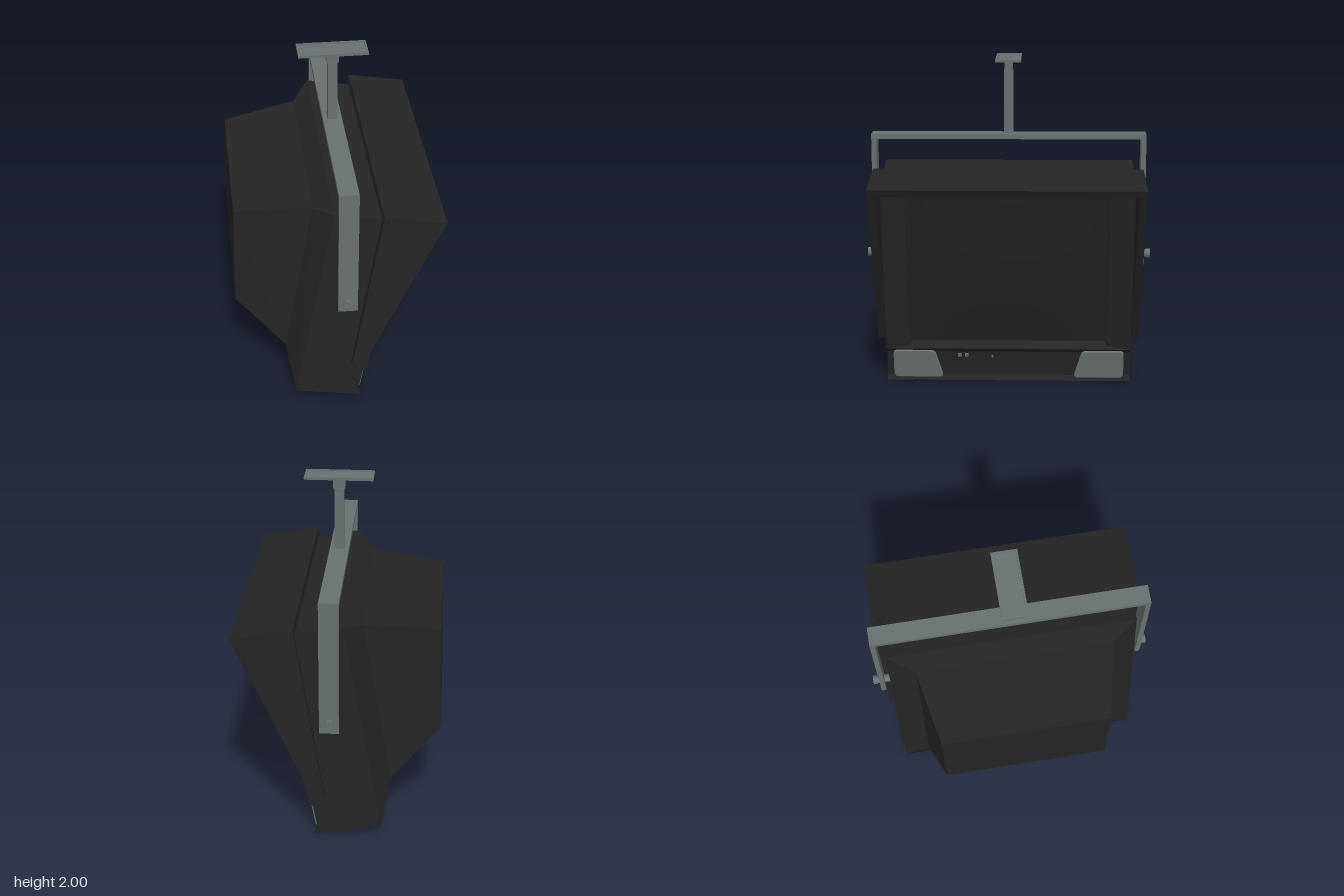
import * as THREE from 'three';

const mat = (name, color, side = THREE.FrontSide) => {
  const m = new THREE.MeshStandardMaterial({ color, side });
  m.name = name;
  return m;
};

// Flat-sided loft through rectangles [uBottom, uTop, vBottom, vTop, halfWidth], listed back to front
function loft(rects, capBack, capFront) {
  const loops = rects.map(([ub, ut, v0, v1, w]) => [[ub, v0, w], [ub, v0, -w], [ut, v1, -w], [ut, v1, w]]);
  const pos = [];
  const quad = (a, b, c, d) => pos.push(...a, ...b, ...c, ...a, ...c, ...d);
  for (let k = 0; k + 1 < loops.length; k++) {
    const a = loops[k], b = loops[k + 1];
    for (let i = 0; i < 4; i++) quad(a[i], a[(i + 1) % 4], b[(i + 1) % 4], b[i]);
  }
  if (capBack) quad(...[...loops[0]].reverse());
  if (capFront) quad(...loops[loops.length - 1]);
  const g = new THREE.BufferGeometry();
  g.setAttribute('position', new THREE.Float32BufferAttribute(pos, 3));
  g.computeVertexNormals();
  return g;
}

// Side profile in x, y extruded from z0 to z1
function slab(points, z0, z1) {
  const s = new THREE.Shape(points.map(p => new THREE.Vector2(...p)));
  return new THREE.ExtrudeGeometry(s, { depth: z1 - z0, bevelEnabled: false }).translate(0, 0, z0);
}

// Polygon with rounded corners
function roundedShape(points, r) {
  const p = points.map(q => new THREE.Vector2(...q)), n = p.length, s = new THREE.Shape();
  p.forEach((c, i) => {
    const toward = q => c.clone().add(q.clone().sub(c).setLength(r));
    const a = toward(p[(i + n - 1) % n]), b = toward(p[(i + 1) % n]);
    if (i) s.lineTo(a.x, a.y); else s.moveTo(a.x, a.y);
    s.quadraticCurveTo(c.x, c.y, b.x, b.y);
  });
  s.closePath();
  return s;
}

export function createModel() {
  const model = new THREE.Group();
  model.name = 'hangingMonitor';
  const casing = mat('casingBlack', 0x242424);
  const glass = mat('screenGlass', 0x222223);
  const metal = mat('bracketGrey', 0x687170);

  const add = (parent, name, geometry, material) => {
    const m = new THREE.Mesh(geometry, material);
    m.name = name;
    parent.add(m);
    return m;
  };
  const box = (parent, name, x0, x1, y0, y1, z0, z1, material) =>
    add(parent, name, new THREE.BoxGeometry(x1 - x0, y1 - y0, z1 - z0)
      .translate((x0 + x1) / 2, (y0 + y1) / 2, (z0 + z1) / 2), material);

  // Monitor, tilted downward; local x is the screen normal
  const monitor = new THREE.Group();
  monitor.name = 'monitor';
  monitor.position.x = 0.13;
  monitor.rotation.z = -0.177;
  model.add(monitor);

  add(monitor, 'rearCasing', loft([
    [-0.827, -0.925, 0.482, 1.109, 0.5],
    [-0.488, -0.496, 0.228, 1.241, 0.59],
    [-0.398, -0.405, 0, 1.31, 0.75],
    [-0.1, -0.1, 0, 1.31, 0.75],
  ], true, true), casing);

  // Bezel stepping in to the screen
  add(monitor, 'bezel', loft([
    [-0.1, -0.1, 0.22, 1.31, 0.75],
    [0, 0, 0.22, 1.31, 0.75],
    [-0.02, -0.02, 0.235, 1.2, 0.605],
    [-0.04, -0.04, 0.235, 1.2, 0.605],
    [-0.055, -0.055, 0.25, 1.19, 0.587],
  ], false, false), casing);

  // Gently bulging glass
  const screen = new THREE.PlaneGeometry(1.18, 0.95, 12, 12);
  const p = screen.attributes.position;
  for (let i = 0; i < p.count; i++) {
    const a = p.getX(i) / 0.59, b = p.getY(i) / 0.475;
    p.setZ(i, 0.022 * (1 - a * a) * (1 - b * b));
  }
  screen.computeVertexNormals();
  screen.rotateY(Math.PI / 2).translate(-0.055, 0.72, 0);
  add(monitor, 'screen', screen, glass);

  // Control panel below the screen, with a shallow recess
  add(monitor, 'controlPanel', slab([
    [-0.1, 0], [0, 0], [-0.022, 0.03], [-0.022, 0.19], [0, 0.22], [-0.1, 0.22],
  ], -0.75, 0.75), casing);

  for (const s of [1, -1]) {
    const shape = roundedShape([[-0.71 * s, 0.016], [-0.40 * s, 0.016], [-0.455 * s, 0.205], [-0.71 * s, 0.205]], 0.03);
    const g = new THREE.ExtrudeGeometry(shape, {
      depth: 0.012, bevelThickness: 0.008, bevelSize: 0.006, bevelOffset: -0.006, bevelSegments: 1, curveSegments: 4,
    });
    g.rotateY(Math.PI / 2).translate(-0.024, 0, 0);
    add(monitor, s > 0 ? 'leftSpeaker' : 'rightSpeaker', g, metal);
  }

  // Buttons and indicator
  for (const [z, y, r] of [[0.3, 0.168, 0.011], [0.258, 0.168, 0.011], [0.098, 0.16, 0.006]])
    box(monitor, 'button', -0.023, -0.014, y - r, y + r, z - r, z + r, metal);

  // Hood: two side panels and a top panel
  const side = [[0.24, 1.355], [0.07, 0.28], [0.13, 0.27], [0.595, 1.295]];
  add(model, 'hoodLeft', slab(side, 0.753, 0.8), casing);
  add(model, 'hoodRight', slab(side, -0.8, -0.756), casing);
  add(model, 'hoodTop', slab([[0.24, 1.355], [0.233, 1.311], [0.577, 1.255], [0.595, 1.295]], -0.756, 0.753), casing);

  // U-shaped bracket with pivot bolts
  const bracket = new THREE.Group();
  bracket.name = 'bracket';
  model.add(bracket);
  box(bracket, 'crossBar', -0.018, 0.095, 1.51, 1.54, -0.825, 0.825, metal);
  for (const s of [1, -1]) {
    const z0 = Math.min(s * 0.795, s * 0.825);
    box(bracket, 'arm', -0.018, 0.095, 0.73, 1.51, z0, z0 + 0.03, metal);
    const bolt = (name, r, a, b) => add(bracket, name, new THREE.CylinderGeometry(r, r, b - a, 16)
      .rotateX(Math.PI / 2).translate(0.036, 0.798, s * (a + b) / 2), metal);
    bolt('boltShaft', 0.024, 0.74, 0.845);
    bolt('boltHead', 0.028, 0.84, 0.865);
  }

  // Drop post and ceiling plate
  const mount = new THREE.Group();
  mount.name = 'ceilingMount';
  model.add(mount);
  box(mount, 'post', 0.01, 0.066, 1.54, 1.92, -0.028, 0.028, metal);
  box(mount, 'postCollar', 0.003, 0.075, 1.915, 1.978, -0.024, 0.024, metal);
  box(mount, 'underPlate', -0.062, 0.145, 1.976, 1.986, -0.03, 0.03, metal);
  box(mount, 'plate', -0.165, 0.24, 1.984, 1.993, -0.075, 0.075, metal);
  for (const s of [1, -1]) {
    const z = s * 0.07;
    box(mount, 'plateLongRim', -0.165, 0.24, 1.993, 2, z - 0.005, z + 0.005, metal);
    const x = 0.0375 + s * 0.1975;
    box(mount, 'plateShortRim', x - 0.005, x + 0.005, 1.993, 2, -0.065, 0.065, metal);
  }
  return model;
}
